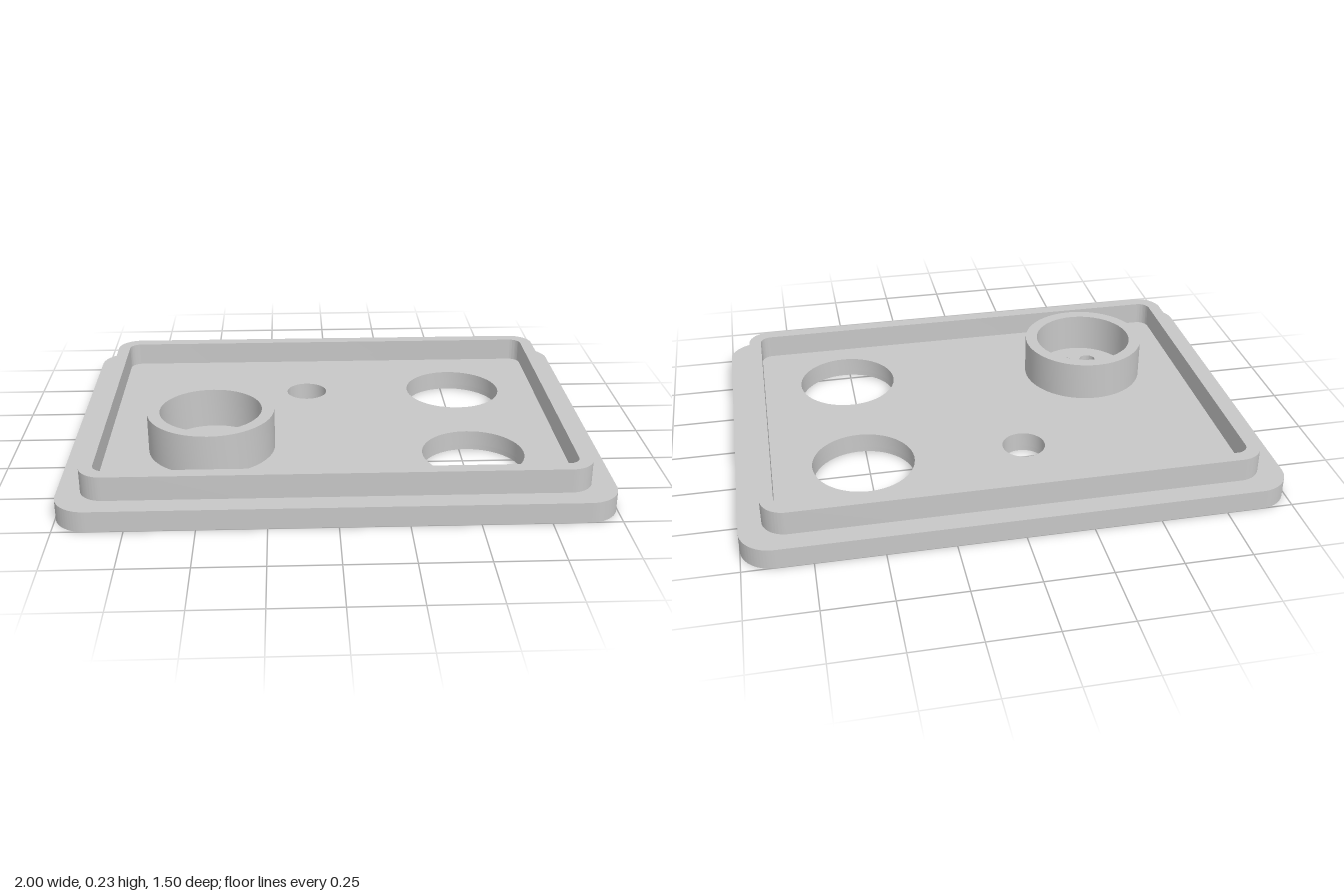
import * as THREE from 'three';
import { toCreasedNormals } from 'three/addons/utils/BufferGeometryUtils.js';

const grey = new THREE.MeshStandardMaterial({ color: 0xc7c7c7 });
grey.name = 'grey plastic';

// Heights of the steps
const POCKET = 0.02, FLANGE = 0.078, RIM = 0.17, COLLAR = 0.232;

// Rounded rectangle, centred, with half sizes w and d
function roundedRect(w, d, r, Type = THREE.Shape) {
  const s = new Type();
  s.moveTo(-w + r, -d);
  s.absarc(w - r, -d + r, r, -Math.PI / 2, 0);
  s.absarc(w - r, d - r, r, 0, Math.PI / 2);
  s.absarc(-w + r, d - r, r, Math.PI / 2, Math.PI);
  s.absarc(-w + r, -d + r, r, Math.PI, Math.PI * 1.5);
  s.closePath();
  return s;
}

// Circle in plan position (x, z)
function circle([x, z, r], Type = THREE.Path) {
  const p = new Type();
  p.absarc(x, -z, r, 0, Math.PI * 2);
  return p;
}

// Plan shape raised from y0 to y1
function slab(name, shape, holes, y0, y1) {
  shape.holes.push(...holes);
  const extruded = new THREE.ExtrudeGeometry(shape, { depth: y1 - y0, bevelEnabled: false, curveSegments: 24 });
  extruded.rotateX(-Math.PI / 2).translate(0, y0, 0);
  const mesh = new THREE.Mesh(toCreasedNormals(extruded, 0.6), grey);
  mesh.name = name;
  return mesh;
}

export function createModel() {
  const group = new THREE.Group();
  group.name = 'panelCover';

  const cx = -0.465, cz = 0.246;
  const through = [[0.525, -0.279, 0.193], [0.525, 0.339, 0.193], [-0.093, -0.281, 0.082]];
  const blind = [[0.18, -0.279, 0.04], [0.185, 0.242, 0.04], [0.185, 0.436, 0.04]];

  // Seven-hole grille inside the collar
  const grille = [[cx, cz, 0.032]];
  for (let i = 0; i < 6; i++) {
    const a = i * Math.PI / 3;
    grille.push([cx + 0.098 * Math.cos(a), cz + 0.098 * Math.sin(a), 0.032]);
  }
  const cut = list => list.map(h => circle(h));

  // Base plate in two layers, the lower one with shallow pockets underneath
  group.add(slab('basePlateLower', roundedRect(1, 0.752, 0.12),
    cut([...through, ...grille, ...blind]), 0, POCKET));
  group.add(slab('basePlateUpper', roundedRect(1, 0.752, 0.12),
    cut([...through, ...grille]), POCKET, FLANGE));

  // Raised lip around the plate
  group.add(slab('rim', roundedRect(0.917, 0.672, 0.09),
    [roundedRect(0.868, 0.623, 0.045, THREE.Path)], FLANGE, RIM));

  // Round collar around the grille
  group.add(slab('collar', circle([cx, cz, 0.24], THREE.Shape),
    cut([[cx, cz, 0.193]]), FLANGE, COLLAR));

  return group;
}
